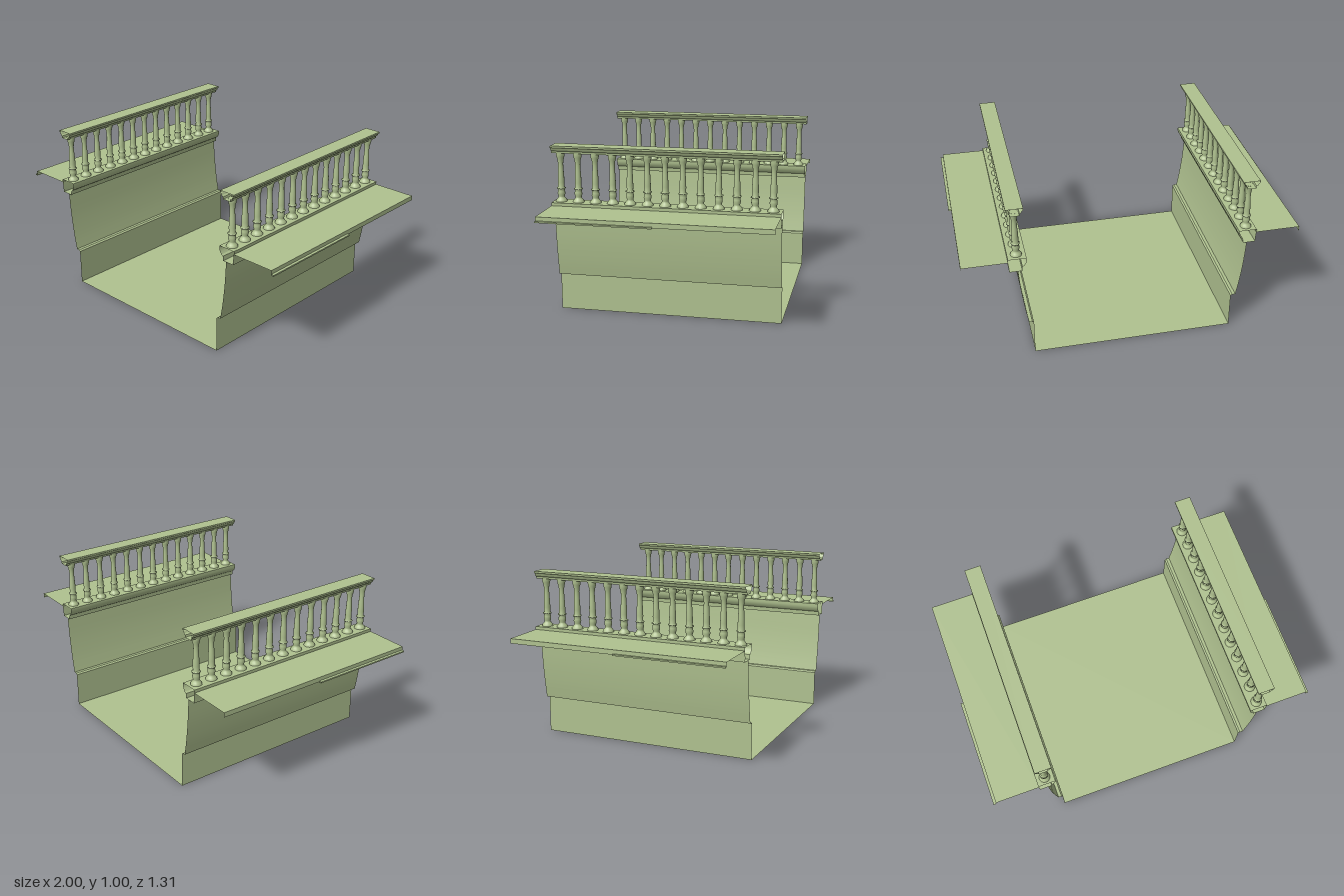
import * as THREE from 'three';
import { toCreasedNormals } from 'three/addons/utils/BufferGeometryUtils.js';

const HALF = 0.655; // half the length along z
const AXIS = 0.67;  // x of the balustrade centre line

const stone = new THREE.MeshStandardMaterial({ color: 0xb0c290, side: THREE.DoubleSide });

// Sweeps an open or closed [x, y] profile straight along z as a thin sheet.
function sheet(name, profile, side = 1, z0 = -HALF, z1 = HALF) {
  const pos = [], index = [];
  profile.forEach(([x, y], i) => {
    pos.push(side * x, y, z0, side * x, y, z1);
    if (i === 0) return;
    const a = 2 * i - 2;
    if (side > 0) index.push(a, a + 2, a + 1, a + 1, a + 2, a + 3);
    else index.push(a, a + 1, a + 2, a + 1, a + 3, a + 2);
  });
  const geo = new THREE.BufferGeometry();
  geo.setAttribute('position', new THREE.Float32BufferAttribute(pos, 3));
  geo.setIndex(index);
  const mesh = new THREE.Mesh(toCreasedNormals(geo, 0.4), stone);
  mesh.name = name;
  return mesh;
}

// Concave embankment curve above the plinth ledge
const wallCurve = new THREE.SplineCurve([
  [0.624, 0.222], [0.641, 0.32], [0.657, 0.45], [0.667, 0.592],
].map(([x, y]) => new THREE.Vector2(x, y))).getPoints(10).map(p => [p.x, p.y]);

const plinth = [[0.595, 0], [0.595, 0.214], [0.605, 0.222], [0.624, 0.222]];

// Moulded coping, open at both ends
const coping = [
  [0.667, 0.592], [0.645, 0.592], [0.643, 0.618], [0.632, 0.625], [0.622, 0.64], [0.617, 0.656],
  [0.617, 0.674], [0.722, 0.674], [0.722, 0.656], [0.718, 0.62], [0.718, 0.592], [0.667, 0.592],
];

// Handrail section, mirrored about the balustrade centre line
const railHalf = [[0.026, 0.955], [0.028, 0.967], [0.037, 0.974], [0.042, 0.985], [0.049, 0.99], [0.049, 1]];
const rail = [
  ...railHalf.map(([x, y]) => [AXIS + x, y]),
  ...[...railHalf].reverse().map(([x, y]) => [AXIS - x, y]),
  [AXIS + railHalf[0][0], railHalf[0][1]],
];

// Turned baluster: radius, height
const balusterGeo = new THREE.LatheGeometry([
  [0.033, 0.672], [0.032, 0.68], [0.026, 0.689], [0.019, 0.697], [0.018, 0.705],
  [0.022, 0.718], [0.021, 0.732], [0.018, 0.746], [0.025, 0.748], [0.025, 0.753], [0.018, 0.755],
  [0.019, 0.785], [0.018, 0.82], [0.0155, 0.86], [0.0145, 0.89], [0.017, 0.915],
  [0.022, 0.932], [0.024, 0.945], [0.024, 0.956],
].map(([r, y]) => new THREE.Vector2(r, y)), 16);

export function createModel() {
  const model = new THREE.Group();
  model.name = 'canalSection';
  model.add(sheet('channelFloor', [[0.595, 0], [-0.595, 0]]));

  for (const side of [1, -1]) {
    const bank = new THREE.Group();
    bank.name = side > 0 ? 'leftBank' : 'rightBank';
    bank.add(
      sheet('plinth', plinth, side),
      sheet('embankmentWall', wallCurve, side),
      sheet('coping', coping, side),
      sheet('handrail', rail, side),
      // pavement with a turned-down kerb
      sheet('pavement', [[0.72, 0.656], [0.984, 0.656], [0.984, 0.628]], side),
      // narrow kerb strip along the front half only
      sheet('kerbStrip', [[0.984, 0.634], [1, 0.634], [1, 0.626], [0.984, 0.626]], side, 0, HALF),
    );
    for (let i = 0; i < 13; i++) {
      const baluster = new THREE.Mesh(balusterGeo, stone);
      baluster.name = 'baluster';
      baluster.position.set(side * AXIS, 0, 0.611 - i * 0.1013);
      bank.add(baluster);
    }
    model.add(bank);
  }
  return model;
}
